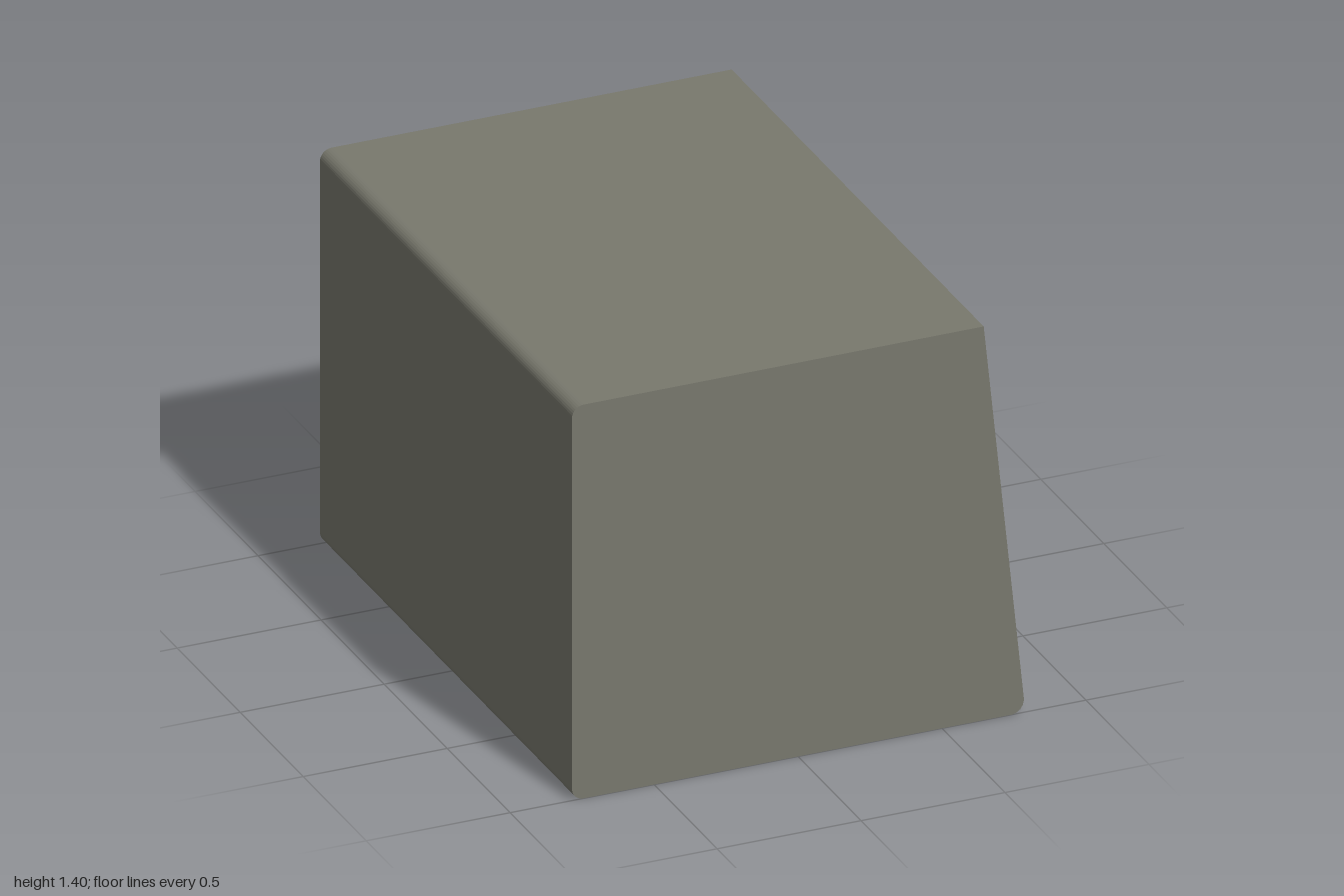
import * as THREE from 'three';

const BOTTOM = 0.045, TOP = 1.4, HALF = 1;

// x of the sloping screen side at a given height
const faceX = (y) => 0.785 - (y - BOTTOM) * (0.14 / (TOP - BOTTOM));

// place a flat point (a = -z, b = y) on the sloping side, pushed in by depth
const onFace = (depth) => (p) => new THREE.Vector3(faceX(p.y) - depth, p.y, -p.x);

function roundedRect(z0, z1, y0, y1, r) {
  const a0 = -z0, a1 = -z1;
  const s = new THREE.Shape();
  s.absarc(a1 - r, y0 + r, r, -Math.PI / 2, 0);
  s.absarc(a1 - r, y1 - r, r, 0, Math.PI / 2);
  s.absarc(a0 + r, y1 - r, r, Math.PI / 2, Math.PI);
  s.absarc(a0 + r, y0 + r, r, Math.PI, Math.PI * 1.5);
  s.closePath();
  return s;
}

// flat face laid on the sloping side
function faceGeometry(shape, depth) {
  const geo = new THREE.ShapeGeometry(shape, 6);
  const pos = geo.attributes.position;
  const map = onFace(depth);
  for (let i = 0; i < pos.count; i++) {
    const v = map({ x: pos.getX(i), y: pos.getY(i) });
    pos.setXYZ(i, v.x, v.y, v.z);
  }
  geo.computeVertexNormals();
  return geo;
}

// wall between two copies of an outline, facing the left of its direction
function band(points, front, back) {
  const verts = [];
  for (let i = 0; i < points.length - 1; i++) {
    const [p0, q0] = [front(points[i]), front(points[i + 1])];
    const [p1, q1] = [back(points[i]), back(points[i + 1])];
    for (const v of [p0, q0, p1, q0, q1, p1]) verts.push(v.x, v.y, v.z);
  }
  const geo = new THREE.BufferGeometry();
  geo.setAttribute('position', new THREE.Float32BufferAttribute(verts, 3));
  geo.computeVertexNormals();
  return geo;
}

export function createModel() {
  const model = new THREE.Group();
  const casing = new THREE.MeshStandardMaterial({ name: 'casing grey', color: 0x78786d });
  const dark = new THREE.MeshStandardMaterial({ name: 'dark glass', color: 0x403e45 });

  const add = (name, geo, mat, parent = model) => {
    const mesh = new THREE.Mesh(geo, mat);
    mesh.name = name;
    parent.add(mesh);
    return mesh;
  };

  // casing profile, open along the sloping side
  const r = 0.04;
  const profile = new THREE.Shape();
  profile.moveTo(faceX(TOP), TOP);
  profile.lineTo(-0.785 + r, TOP);
  profile.absarc(-0.785 + r, TOP - r, r, Math.PI / 2, Math.PI);
  profile.absarc(-0.785 + r, r, r, Math.PI, Math.PI * 1.5);
  profile.lineTo(0.745, 0);
  profile.quadraticCurveTo(0.78, 0.005, 0.785, BOTTOM);
  const outline = profile.getPoints(4);

  const atZ = (z) => (p) => new THREE.Vector3(p.x, p.y, z);
  add('casingShell', band([...outline].reverse(), atZ(HALF), atZ(-HALF)), casing);

  // end panels
  const endShape = new THREE.Shape(outline);
  add('endPanelFront', new THREE.ShapeGeometry(endShape).translate(0, 0, HALF), casing);
  const rearEnd = new THREE.ShapeGeometry(endShape).scale(1, 1, -1);
  const index = rearEnd.index.array;
  for (let i = 0; i < index.length; i += 3) [index[i], index[i + 1]] = [index[i + 1], index[i]];
  rearEnd.computeVertexNormals();
  add('endPanelBack', rearEnd.translate(0, 0, -HALF), casing);

  // sloping bezel with two openings
  const bezel = new THREE.Shape([
    new THREE.Vector2(-HALF, BOTTOM), new THREE.Vector2(HALF, BOTTOM),
    new THREE.Vector2(HALF, TOP), new THREE.Vector2(-HALF, TOP),
  ]);
  const recesses = [
    { name: 'screen', shape: roundedRect(0.93, -0.525, 0.07, 1.335, 0.07), depth: 0.097, mat: dark },
    { name: 'controlPanel', shape: roundedRect(-0.635, -0.965, 0.075, 1.365, 0.06), depth: 0.036, mat: casing },
  ];
  for (const { shape } of recesses) bezel.holes.push(shape);
  add('bezel', faceGeometry(bezel, 0), casing);

  // recess walls and floors
  for (const { name, shape, depth, mat } of recesses) {
    add(name + 'Surround', band(shape.getPoints(6), onFace(0), onFace(depth)), casing);
    add(name, faceGeometry(shape, depth), mat);
  }

  // four vents and a button marked on the control panel
  const vents = new THREE.Group();
  vents.name = 'vents';
  model.add(vents);
  for (const [y0, y1] of [[1.2, 1.275], [1.11, 1.19], [1.018, 1.095], [0.93, 1.005]]) {
    add('vent', faceGeometry(roundedRect(-0.695, -0.915, y0, y1, 0.025), 0.033), dark, vents);
  }
  add('powerButton', faceGeometry(roundedRect(-0.695, -0.89, 0.193, 0.28, 0.036), 0.033), dark);

  return model;
}
